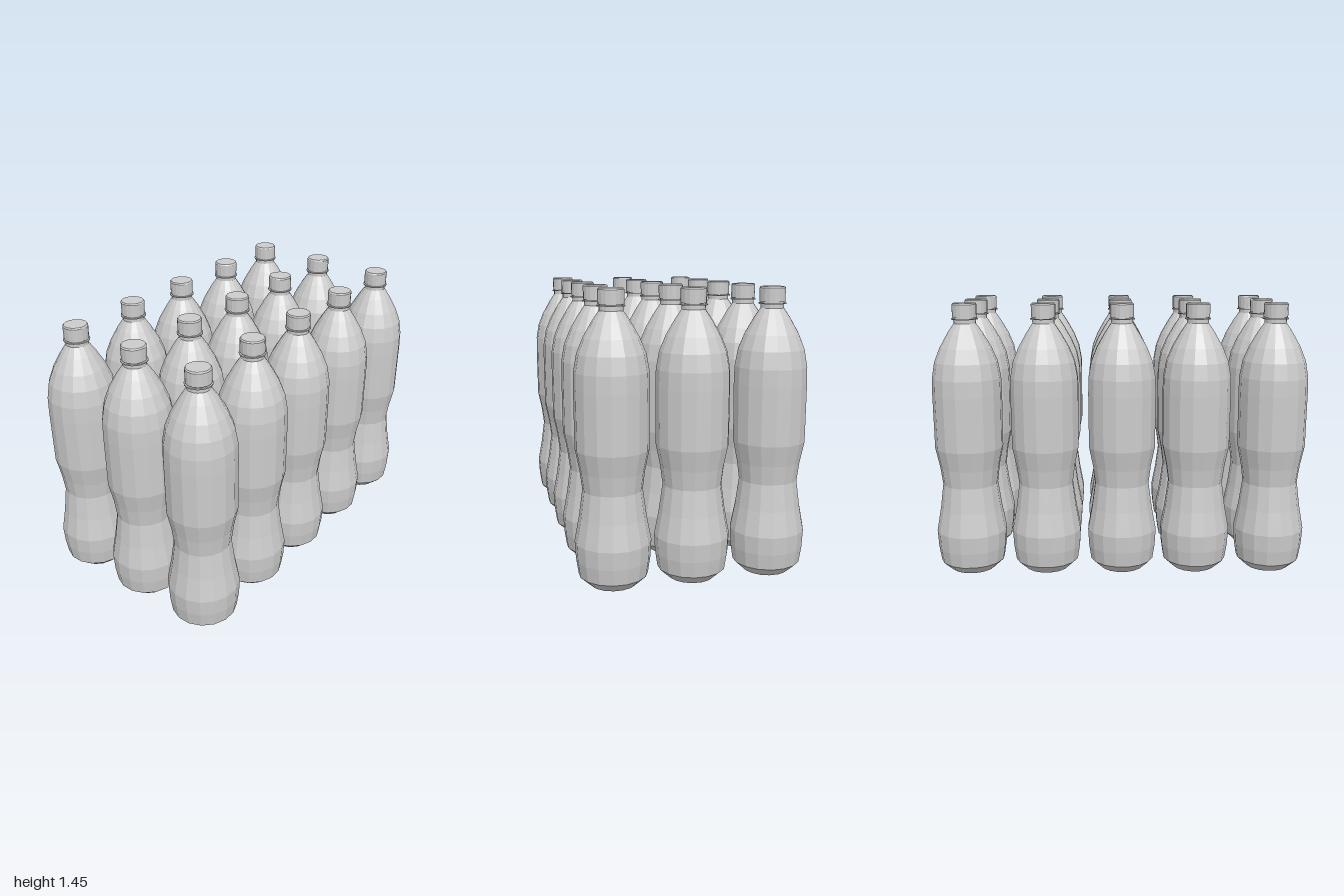
import * as THREE from 'three';

const SIDES = 16;
const FLAT_TO_CORNER = 1 / Math.cos(Math.PI / SIDES);

// Faceted solid of revolution with a flat side facing front
function lathe(points) {
  const profile = points.map(([r, y]) => new THREE.Vector2(r * FLAT_TO_CORNER, y));
  return new THREE.LatheGeometry(profile, SIDES, Math.PI / SIDES);
}

export function createModel() {
  const model = new THREE.Group();
  model.name = 'bottlePack';
  const material = new THREE.MeshStandardMaterial({ color: 0xcccccc, flatShading: true });

  const parts = {
    // Chamfered base, bulge, waist, straight wall, shoulder and neck
    bottleBody: lathe([
      [0, 0], [0.115, 0], [0.168, 0.05], [0.18, 0.13], [0.185, 0.22],
      [0.162, 0.345], [0.144, 0.48], [0.156, 0.575], [0.177, 0.68],
      [0.179, 0.97], [0.177, 1.055], [0.162, 1.14], [0.132, 1.215],
      [0.09, 1.29], [0.057, 1.34], [0.057, 1.37],
    ]),
    // Thin flange under the cap
    neckRing: lathe([[0.055, 1.36], [0.067, 1.36], [0.067, 1.366], [0.055, 1.366]]),
    bottleCap: lathe([[0.055, 1.37], [0.062, 1.37], [0.063, 1.438], [0.058, 1.445], [0, 1.445]]),
  };

  // Three rows of five bottles
  for (const z of [-0.402, 0, 0.402]) {
    for (const x of [-0.815, -0.405, -0.006, 0.405, 0.815]) {
      const bottle = new THREE.Group();
      bottle.name = 'bottle';
      for (const [name, geometry] of Object.entries(parts)) {
        const mesh = new THREE.Mesh(geometry, material);
        mesh.name = name;
        bottle.add(mesh);
      }
      bottle.position.set(x, 0, z);
      model.add(bottle);
    }
  }
  return model;
}
